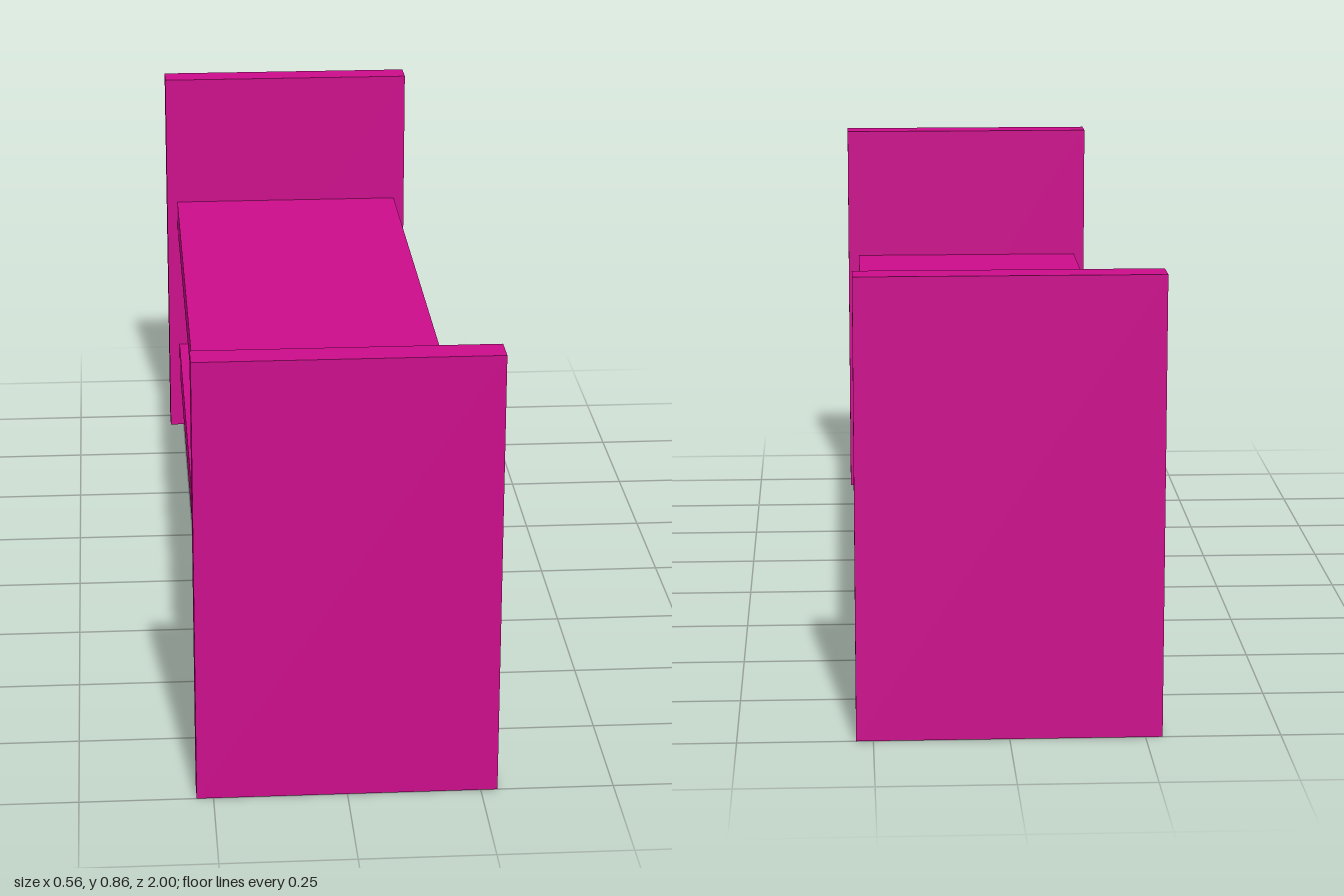
import * as THREE from 'three';

export function createModel() {
  const model = new THREE.Group();
  model.name = 'bench';
  const magenta = new THREE.MeshStandardMaterial({ color: 0xcc0d8c });
  magenta.name = 'magenta';

  const addBoard = (name, w, h, d, y, z) => {
    const mesh = new THREE.Mesh(new THREE.BoxGeometry(w, h, d), magenta);
    mesh.name = name;
    mesh.position.set(0, y, z);
    model.add(mesh);
  };

  const height = 0.863, thick = 0.062;

  // Upright end panels
  addBoard('frontPanel', 0.563, height, thick, height / 2, 1 - thick / 2);
  addBoard('backPanel', 0.563, height, thick, height / 2, -1 + thick / 2);

  // Boards spanning between the panels
  const span = 2 - 2 * thick;
  addBoard('lowerShelf', 0.515, 0.07, span, 0.172, 0);
  addBoard('seat', 0.515, 0.07, span, 0.53, 0);

  return model;
}
